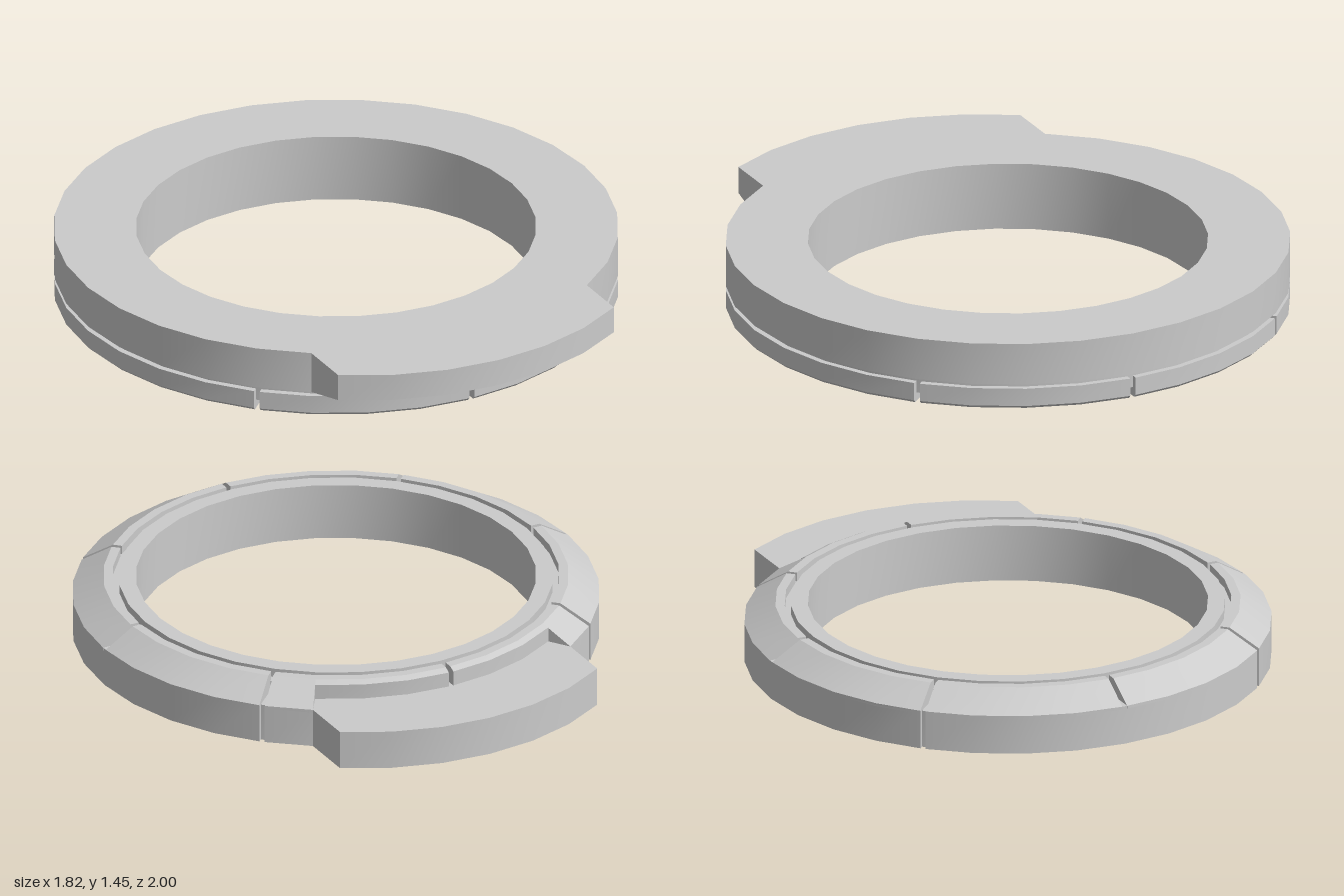
import * as THREE from 'three';
import { toCreasedNormals } from 'three/addons/utils/BufferGeometryUtils.js';

const STEP = 11.25;      // 32-sided rings
const CENTRE_Z = -0.09;  // ring axis, set back to balance the front tabs
const TAB_END = 33.75;   // half angle covered by a tab
const TAB_OUT = 0.18;    // forward reach of a tab
const GAP = 0.6;         // half angle of a seam between segments

const material = new THREE.MeshStandardMaterial({ color: 0xcccccc });

// Sweeps a closed counter-clockwise profile of [radius, y, forward shift]
// round the axis, from angle a0 to a1 in degrees (0 = front, 90 = +x).
function sweep(profile, a0, a1) {
  const angles = [a0];
  for (let a = (Math.floor(a0 / STEP + 1e-6) + 1) * STEP; a < a1 - 1e-6; a += STEP) angles.push(a);
  angles.push(a1);
  const at = ([r, y, dz = 0], deg) => {
    const a = THREE.MathUtils.degToRad(deg);
    return [r * Math.sin(a), y, r * Math.cos(a) + CENTRE_Z + dz];
  };
  const pos = [];
  const n = profile.length;
  for (let i = 0; i < angles.length - 1; i++) {
    for (let j = 0; j < n; j++) {
      const p = profile[j], q = profile[(j + 1) % n];
      const A = at(p, angles[i]), B = at(p, angles[i + 1]);
      const C = at(q, angles[i + 1]), D = at(q, angles[i]);
      pos.push(...A, ...B, ...C, ...A, ...C, ...D);
    }
  }
  // End caps on partial sweeps
  if (a1 - a0 < 359.9) {
    const flat = profile.map(([r, y, dz = 0]) => new THREE.Vector2(r + dz, y));
    for (const [i, j, k] of THREE.ShapeUtils.triangulateShape(flat, [])) {
      for (const v of [i, j, k]) pos.push(...at(profile[v], a0));
      for (const v of [k, j, i]) pos.push(...at(profile[v], a1));
    }
  }
  const geometry = new THREE.BufferGeometry();
  geometry.setAttribute('position', new THREE.Float32BufferAttribute(pos, 3));
  return toCreasedNormals(geometry, 0.4);
}

function add(group, name, profile, a0 = 0, a1 = 360) {
  const mesh = new THREE.Mesh(sweep(profile, a0, a1), material);
  mesh.name = name;
  group.add(mesh);
}

// One segment per pair of neighbouring seam angles, mirrored left and right
function addSegments(group, name, profile, seams) {
  for (let i = 0; i < seams.length - 1; i++) {
    const a0 = seams[i] === TAB_END ? TAB_END : seams[i] + GAP;
    const a1 = seams[i + 1] === TAB_END ? TAB_END : seams[i + 1] - GAP;
    add(group, name + 'Left', profile, a0, a1);
    add(group, name + 'Right', profile, -a1, -a0);
  }
}

function createUpperRing() {
  const ring = new THREE.Group();
  ring.name = 'upperRing';
  // Collar with inner sleeve and a shallow groove above the tiles
  add(ring, 'upperBody', [[0.645, 1.22], [0.70, 1.22], [0.70, 1.25], [0.89, 1.25],
    [0.89, 1.305], [0.91, 1.305], [0.91, 1.445], [0.645, 1.445]]);
  // Front tab with sloping underside
  add(ring, 'upperTab', [[0.91, 1.305], [0.91, 1.355, TAB_OUT], [0.91, 1.445, TAB_OUT], [0.91, 1.445]],
    -TAB_END, TAB_END);
  // Segmented underside
  addSegments(ring, 'undersideTile', [[0.72, 1.22], [0.90, 1.22], [0.91, 1.23], [0.91, 1.29], [0.72, 1.29]],
    [0, 45, 135, 180]);
  return ring;
}

function createLowerRing() {
  const ring = new THREE.Group();
  ring.name = 'lowerRing';
  // Core with inner sleeve and groove
  add(ring, 'lowerBody', [[0.645, 0], [0.835, 0], [0.835, 0.125], [0.73, 0.125],
    [0.73, 0.16], [0.70, 0.16], [0.70, 0.19], [0.645, 0.19]]);
  // Outer wall, split at the diagonals
  const wall = [[0.835, 0], [0.85, 0], [0.85, 0.13], [0.72, 0.13], [0.72, 0.125], [0.835, 0.125]];
  for (const a of [-45, 45, 135, 225]) add(ring, 'outerWall', wall, a + GAP, a + 90 - GAP);
  // Front tab
  add(ring, 'lowerTab', [[0.85, 0], [0.85, 0, TAB_OUT], [0.85, 0.13, TAB_OUT], [0.85, 0.13]],
    -TAB_END, TAB_END);
  // Bevelled top segments
  addSegments(ring, 'bevelSegment', [[0.72, 0.12], [0.85, 0.12], [0.85, 0.13], [0.75, 0.19], [0.72, 0.19]],
    [TAB_END, 45, 90, 135, 180]);
  // Upright rim behind the tab
  addSegments(ring, 'recessRim', [[0.72, 0.12], [0.77, 0.12], [0.77, 0.18], [0.75, 0.19], [0.72, 0.19]],
    [0, TAB_END]);
  return ring;
}

export function createModel() {
  const model = new THREE.Group();
  model.name = 'twoPartRing';
  model.add(createUpperRing(), createLowerRing());
  return model;
}
